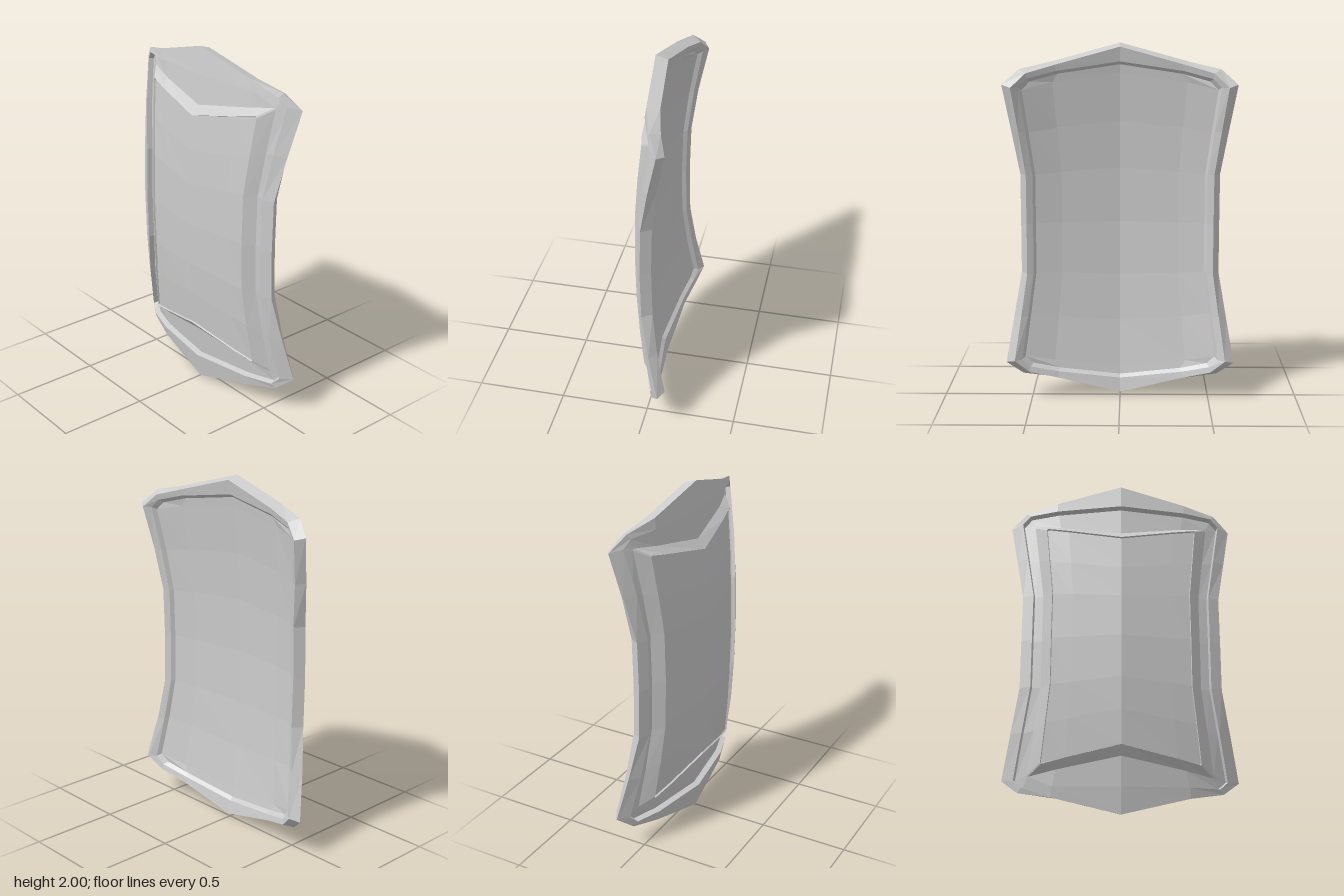
import * as THREE from 'three';

const material = new THREE.MeshStandardMaterial({ color: 0xcccccc, flatShading: true, side: THREE.DoubleSide });

// Bowed surface: bent along the spine, falling away to the sides and ends
const BOW = [[0, 0.133], [0.385, 0.08], [0.5, 0.045], [0.555, 0.02], [0.64, -0.04]];
function bow(x, y) {
  const ax = Math.min(Math.abs(x), 0.64);
  const i = Math.max(1, BOW.findIndex(p => p[0] >= ax));
  const [x0, z0] = BOW[i - 1], [x1, z1] = BOW[i];
  return z0 + (z1 - z0) * (ax - x0) / (x1 - x0) - 0.08 * y * y;
}
const point = (x, y, offset) => [x, y + 1, bow(x, y) + offset];

// Quarter outline: tip, shoulder, two corner points, side middle, waist, side centre
function quarter(tip, shoulder, c1, c2, waist) {
  const mid = [(c2[0] + waist) / 2, (c2[1] + 0.28) / 2];
  return [[0, tip], shoulder, c1, c2, mid, [waist, 0.28], [waist, 0]];
}
const inset = (q, d) => q.map(([x, y]) => [x * (1 - d / 0.5), y * (1 - d / 0.8)]);

// Mirror a quarter outline into a closed ring on the bowed surface
function ring(q, offset) {
  const right = [...q, ...q.slice(0, -1).reverse().map(([x, y]) => [x, -y])];
  const left = right.slice(1, -1).reverse().map(([x, y]) => [-x, y]);
  return [...right, ...left].map(([x, y]) => point(x, y, offset));
}

function makeMesh(name, quads) {
  const pos = [];
  for (const [a, b, c, d] of quads) pos.push(...a, ...b, ...c, ...a, ...c, ...d);
  const geometry = new THREE.BufferGeometry();
  geometry.setAttribute('position', new THREE.Float32BufferAttribute(pos, 3));
  geometry.computeVertexNormals();
  const mesh = new THREE.Mesh(geometry, material);
  mesh.name = name;
  return mesh;
}

// Join successive rings with quads
function loft(name, rings) {
  const quads = [];
  for (let r = 0; r < rings.length - 1; r++) {
    const a = rings[r], b = rings[r + 1], n = a.length;
    for (let i = 0; i < n; i++) {
      const j = (i + 1) % n;
      quads.push([a[i], b[i], b[j], a[j]]);
    }
  }
  return makeMesh(name, quads);
}

// Fill a quarter outline, mirrored, with a grid that follows the bow
function sheet(name, q, offset, facesBack) {
  const [tip, shoulder, c1] = q;
  const mirrorX = ([x, y]) => [-x, y];
  const top = [mirrorX(c1), mirrorX(shoulder), tip, shoulder, c1];
  const side = q.slice(2);
  const edges = [...side, ...side.slice(0, -1).reverse().map(([x, y]) => [x, -y])];
  const rows = edges.map(([ex, ey]) =>
    top.map(([tx, ty]) => point(ex * tx / c1[0], ey * ty / c1[1], offset)));
  const quads = [];
  for (let r = 0; r < rows.length - 1; r++) {
    for (let c = 0; c < top.length - 1; c++) {
      const quad = [rows[r][c], rows[r + 1][c], rows[r + 1][c + 1], rows[r][c + 1]];
      quads.push(facesBack ? quad.reverse() : quad);
    }
  }
  return makeMesh(name, quads);
}

export function createModel() {
  const group = new THREE.Group();
  group.name = 'shield';

  const outer = quarter(1, [0.37, 0.9], [0.55, 0.86], [0.64, 0.78], 0.555);
  const rimEdge = quarter(0.855, [0.37, 0.842], [0.53, 0.835], [0.575, 0.79], 0.495);
  const frameOuter = quarter(0.68, [0.35, 0.743], [0.495, 0.77], [0.5, 0.76], 0.44);
  const frameEdge = quarter(0.63, [0.3, 0.693], [0.425, 0.72], [0.43, 0.712], 0.388);
  const backOuter = quarter(0.98, [0.35, 0.885], [0.51, 0.84], [0.59, 0.765], 0.52);
  const backLip = quarter(0.9, [0.35, 0.85], [0.505, 0.81], [0.55, 0.765], 0.485);
  const backInner = inset(backLip, 0.015);
  const rimFoot = inset(rimEdge, 0.008);
  const panel = inset(frameEdge, 0.005);

  // Thick rim: back lip, outer wall, front face and the step down from it
  group.add(loft('rim', [
    ring(backInner, -0.05), ring(backLip, -0.068), ring(backOuter, -0.07),
    ring(outer, 0), ring(rimEdge, 0.002), ring(rimFoot, -0.032),
  ]));

  // Sunken channel between the rim and the inner frame
  group.add(loft('channel', [ring(rimFoot, -0.032), ring(frameOuter, -0.033)]));

  // Sloped inner frame ending in a small step
  group.add(loft('innerFrame', [ring(frameOuter, -0.033), ring(frameEdge, 0.006), ring(panel, -0.004)]));

  group.add(sheet('frontPanel', panel, -0.004, false));
  group.add(sheet('backPanel', backInner, -0.05, true));
  return group;
}
